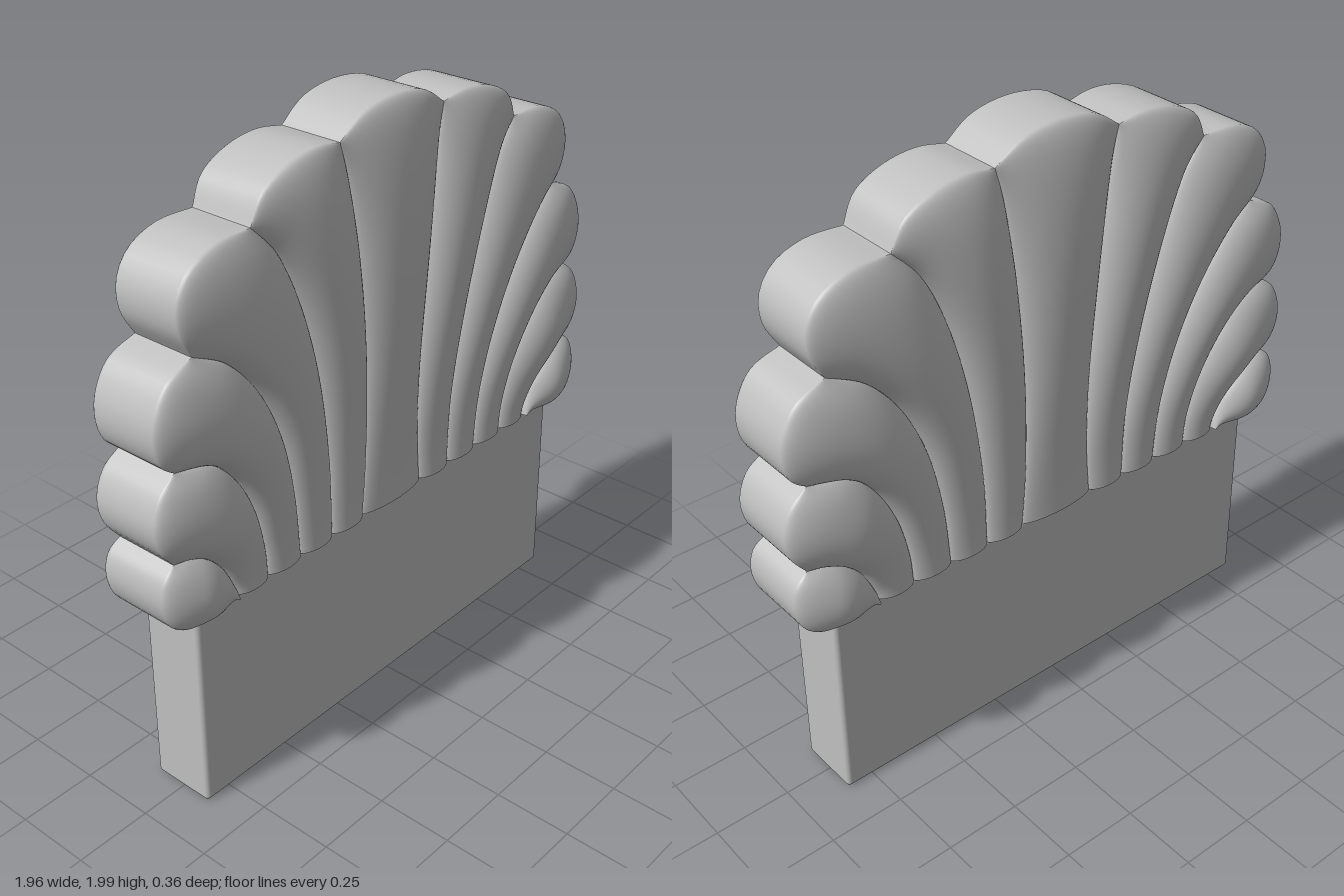
import * as THREE from 'three';
import { RoundedBoxGeometry } from 'three/addons/geometries/RoundedBoxGeometry.js';

const HALF = 0.108; // half thickness of the rim
const curve = (pts) => new THREE.SplineCurve(pts.map(([x, y]) => new THREE.Vector2(x, y)));
const mirrorPts = (pts) => pts.map(([x, y]) => [-x, y]);

// grooves between the petals, from the base outwards (model's left half)
const grooves = [
  [[0.14, 0.69], [0.125, 0.9], [0.13, 1.2], [0.16, 1.55], [0.195, 1.8], [0.225, 1.92]],
  [[0.28, 0.69], [0.29, 0.95], [0.335, 1.25], [0.4, 1.5], [0.48, 1.68], [0.575, 1.785]],
  [[0.42, 0.69], [0.44, 0.9], [0.49, 1.12], [0.57, 1.3], [0.68, 1.43], [0.805, 1.5]],
  [[0.56, 0.69], [0.57, 0.8], [0.61, 0.95], [0.68, 1.08], [0.77, 1.16], [0.89, 1.19]],
  [[0.69, 0.69], [0.7, 0.73], [0.74, 0.81], [0.8, 0.87], [0.86, 0.9], [0.915, 0.91]],
  [[0.705, 0.688], [0.75, 0.686], [0.8, 0.684], [0.85, 0.68]],
];

// rounded tip outlines, clockwise
const tips = [
  [[-0.225, 1.92], [-0.13, 1.98], [0, 2.0], [0.13, 1.98], [0.225, 1.92]],
  [[0.225, 1.92], [0.32, 1.935], [0.43, 1.92], [0.53, 1.87], [0.575, 1.785]],
  [[0.575, 1.785], [0.7, 1.785], [0.8, 1.745], [0.85, 1.67], [0.848, 1.58], [0.805, 1.5]],
  [[0.805, 1.5], [0.9, 1.46], [0.95, 1.38], [0.96, 1.3], [0.938, 1.23], [0.89, 1.19]],
  [[0.89, 1.19], [0.95, 1.14], [0.978, 1.06], [0.965, 0.98], [0.915, 0.91]],
  [[0.915, 0.91], [0.958, 0.87], [0.97, 0.8], [0.95, 0.73], [0.91, 0.692], [0.85, 0.68]],
];

// grid surface from a rule p(s, t) -> [x, y, z]
function gridGeometry(p, nu, nv, flip) {
  const pos = [], idx = [];
  for (let j = 0; j <= nv; j++) {
    for (let i = 0; i <= nu; i++) pos.push(...p(i / nu, j / nv));
  }
  for (let j = 0; j < nv; j++) {
    for (let i = 0; i < nu; i++) {
      const a = j * (nu + 1) + i, b = a + 1, c = a + nu + 1, d = c + 1;
      if (flip) idx.push(a, d, b, a, c, d);
      else idx.push(a, b, d, a, d, c);
    }
  }
  const g = new THREE.BufferGeometry();
  g.setAttribute('position', new THREE.Float32BufferAttribute(pos, 3));
  g.setIndex(idx);
  g.computeVertexNormals();
  return g;
}

function makePetal(name, k, mirrored, material) {
  const left = curve(k === 0 ? mirrorPts(grooves[0]) : grooves[k - 1]);
  const right = curve(grooves[k]);
  const tip = curve(tips[k]);
  const small = k === 5;
  const power = small ? 1.6 : k === 4 ? 2.5 : 4;
  const roll = small ? 0.6 : k === 4 ? 0.45 : 0.3; // share of the length that rolls over at the tip
  const sx = mirrored ? -1 : 1;

  // flat outline: blend of the two grooves, pushed out to the tip curve
  const flat = (u, v) => {
    const p = left.getPointAt(v).lerp(right.getPointAt(v), u);
    const end = left.getPointAt(1).lerp(right.getPointAt(1), u);
    p.add(tip.getPointAt(u).sub(end).multiplyScalar(Math.pow(v, power)));
    return p;
  };
  // puffed height above the rim
  const puff = (u, v) => {
    const across = Math.pow(Math.max(0, 4 * u * (1 - u)), 0.6);
    const e = Math.max(0, (v - 1 + roll) / roll);
    const along = Math.sqrt(Math.max(0, 1 - e * e));
    const full = THREE.MathUtils.lerp(0.028, 0.074, THREE.MathUtils.smoothstep(v, 0, 0.7));
    return full * across * along;
  };
  const easeU = (s) => (1 - Math.cos(Math.PI * s)) / 2;
  const easeV = (t) => Math.sin(t * Math.PI / 2);

  const group = new THREE.Group();
  group.name = name;
  const add = (part, g) => {
    const m = new THREE.Mesh(g, material);
    m.name = part;
    group.add(m);
  };
  // puffed faces
  for (const side of [1, -1]) {
    add(side > 0 ? 'frontFace' : 'backFace', gridGeometry((s, t) => {
      const u = easeU(s), v = easeV(t), p = flat(u, v);
      return [sx * p.x, p.y, side * (HALF + puff(u, v))];
    }, 24, 36, (side < 0) !== mirrored));
  }
  // walls joining front and back along the open edges
  const wall = (part, at, flip) => add(part, gridGeometry((s, t) => {
    const [u, v] = at(s);
    const p = flat(u, v);
    return [sx * p.x, p.y, HALF * (1 - 2 * t) + (1 - 2 * t) * puff(u, v)];
  }, 24, 2, flip !== mirrored));
  wall('tipWall', (s) => [easeU(s), 1], true);
  wall('bottomWall', (s) => [easeU(s), 0], false);
  if (small) wall('lowerWall', (s) => [1, s], false);
  return group;
}

export function createModel() {
  const model = new THREE.Group();
  model.name = 'shellHeadboard';
  const grey = new THREE.MeshStandardMaterial({ color: 0xc0c0c0, side: THREE.DoubleSide });
  grey.name = 'plainGrey';

  // base panel
  const base = new THREE.Mesh(new RoundedBoxGeometry(1.69, 0.685, 0.216, 3, 0.015), grey);
  base.name = 'basePanel';
  base.position.y = 0.35;
  model.add(base);

  // fan of petals
  model.add(makePetal('centrePetal', 0, false, grey));
  for (let k = 1; k < tips.length; k++) {
    model.add(makePetal('leftPetal' + k, k, false, grey));
    model.add(makePetal('rightPetal' + k, k, true, grey));
  }
  return model;
}
